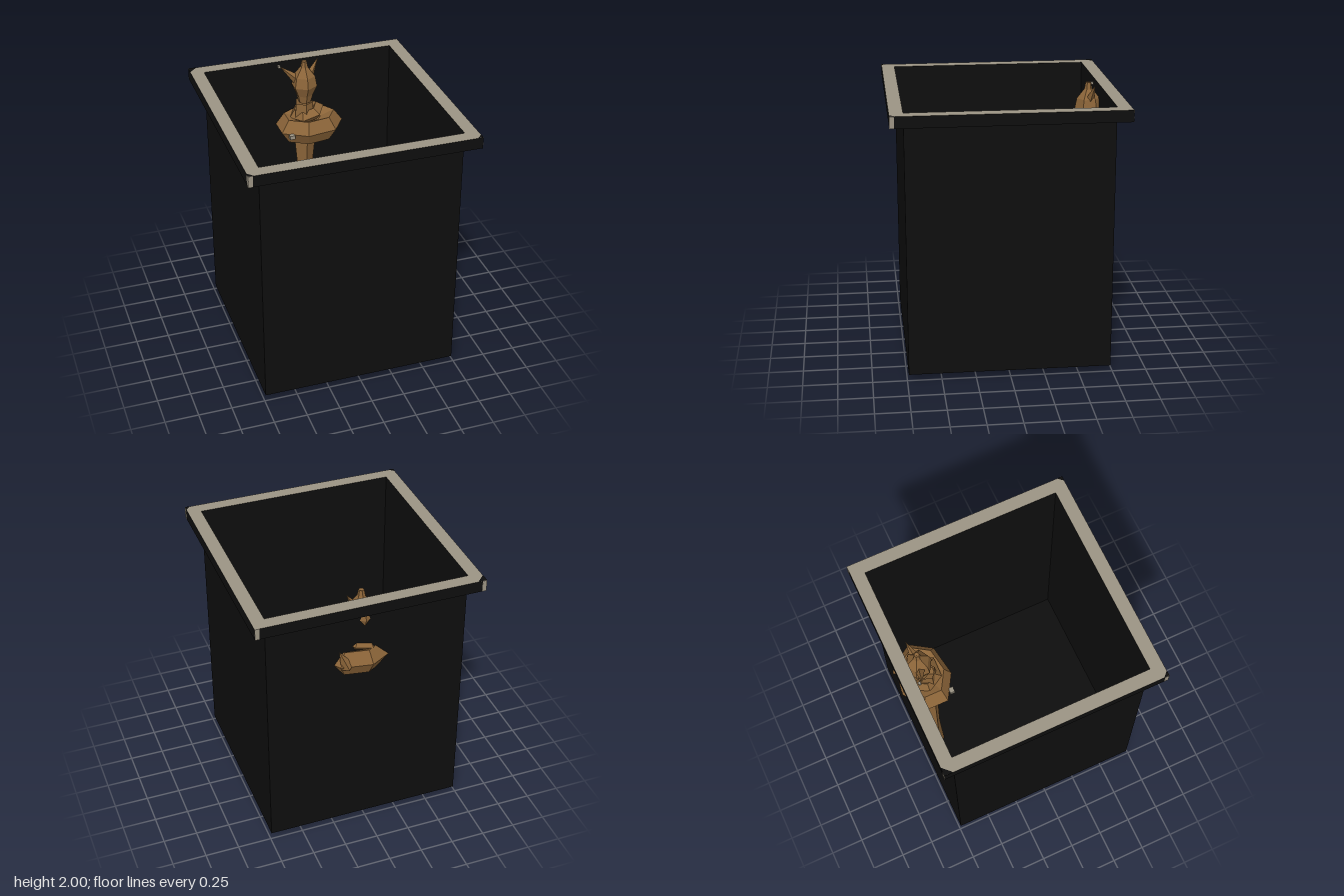
import * as THREE from 'three';

export function createModel() {
  const model = new THREE.Group();
  const black = new THREE.MeshStandardMaterial({ name: 'black', color: 0x0e0e0e, side: THREE.DoubleSide });
  const beige = new THREE.MeshStandardMaterial({ name: 'beige', color: 0x9c9484 });
  const brown = new THREE.MeshStandardMaterial({ name: 'brown', color: 0x8c6539, flatShading: true, side: THREE.DoubleSide });

  const add = (name, geometry, material, x = 0, y = 0, z = 0, parent = model) => {
    const mesh = new THREE.Mesh(geometry, material);
    mesh.name = name;
    mesh.position.set(x, y, z);
    parent.add(mesh);
    return mesh;
  };

  const inner = 0.738, outer = 0.836, base = 0.04, rimLow = 1.9, rimTop = 1.985;

  // Open box: four thin walls and a floor
  const wallHeight = rimLow - base;
  for (let i = 0; i < 4; i++) {
    const a = i * Math.PI / 2;
    const wall = add('wall', new THREE.PlaneGeometry(inner * 2, wallHeight), black,
      Math.sin(a) * inner, base + wallHeight / 2, Math.cos(a) * inner);
    wall.rotation.y = a;
  }
  add('floor', new THREE.PlaneGeometry(inner * 2, inner * 2), black, 0, base, 0).rotation.x = Math.PI / 2;

  // Square rim with a pale top face
  const square = (path, r) => path.moveTo(-r, -r).lineTo(r, -r).lineTo(r, r).lineTo(-r, r).closePath();
  const ring = new THREE.Shape();
  square(ring, outer);
  const hole = new THREE.Path();
  square(hole, inner);
  ring.holes.push(hole);
  const frame = (depth) => new THREE.ExtrudeGeometry(ring, { depth, bevelEnabled: false }).rotateX(-Math.PI / 2);
  add('rim', frame(rimTop - rimLow - 0.005), black, 0, rimLow, 0);
  add('rimTop', frame(0.005), [beige, black], 0, rimTop - 0.005, 0);

  // Pale strips at the rim's corners
  const rimMid = (rimLow + rimTop) / 2, edge = outer - 0.016;
  for (const [x, z, alongX] of [
    [-edge, outer, true], [outer, edge, false], [-outer, edge, false], [edge, -outer, true], [-edge, -outer, true],
  ]) {
    add('cornerStrip', new THREE.BoxGeometry(alongX ? 0.032 : 0.003, rimTop - rimLow, alongX ? 0.003 : 0.032),
      beige, x, rimMid, z);
  }

  // Dark tips on the top corners
  for (const [sx, sz, size] of [[-1, -1, 0.065], [-1, 1, 0.04], [1, 1, 0.04]]) {
    const tip = new THREE.Shape();
    tip.moveTo(0, 0).lineTo(-sx * size, 0).lineTo(0, sz * size).closePath();
    add('cornerTip', new THREE.ShapeGeometry(tip).rotateX(-Math.PI / 2), black, sx * outer, rimTop + 0.002, sz * outer);
  }

  // Knotted stem near the back wall
  const stem = new THREE.Group();
  stem.name = 'stem';
  model.add(stem);
  const lathe = (points, sides) =>
    new THREE.LatheGeometry(points.map(([r, y]) => new THREE.Vector2(r, y)), sides);

  add('trunk', lathe([[0.045, 0.01], [0.068, 0], [0.065, 0.04], [0.05, 0.5], [0.06, 1.1], [0.09, 1.4], [0.07, 1.68]], 5),
    brown, 0, 0, -0.62, stem);
  add('stemHead', lathe([[0.05, 1.66], [0.065, 1.72], [0.1, 1.8], [0.085, 1.88], [0.03, 1.95], [0.02, 2], [0, 1.99]], 6),
    brown, 0.02, 0, -0.66, stem);

  // Thick coil around the stem
  const coil = new THREE.TorusGeometry(0.175, 0.1, 5, 7).rotateX(Math.PI / 2).scale(0.98, 1, 0.72);
  add('coil', coil, brown, 0.045, 1.47, -0.63, stem);
  const collar = new THREE.TorusGeometry(0.09, 0.05, 4, 6).rotateX(Math.PI / 2);
  collar.rotateZ(0.25);
  add('collar', collar, brown, 0.03, 1.58, -0.64, stem);

  // Pointed twigs
  const twig = (from, to, radius) => {
    const a = new THREE.Vector3(...from), b = new THREE.Vector3(...to);
    const dir = b.clone().sub(a);
    const mesh = add('twig', new THREE.ConeGeometry(radius, dir.length(), 4), brown, 0, 0, 0, stem);
    mesh.position.copy(a).add(b).multiplyScalar(0.5);
    mesh.quaternion.setFromUnitVectors(new THREE.Vector3(0, 1, 0), dir.normalize());
  };
  twig([0, 1.82, -0.66], [-0.16, 1.96, -0.7], 0.05);
  twig([0.05, 1.85, -0.66], [0.14, 2, -0.69], 0.04);
  twig([0.02, 1.8, -0.66], [0.02, 1.87, -0.75], 0.05);
  twig([0.16, 1.46, -0.77], [0.22, 1.6, -0.77], 0.05);

  // Small pale chips
  add('chip', new THREE.BoxGeometry(0.04, 0.03, 0.035), beige, -0.135, 1.46, -0.49, stem);
  add('chip', new THREE.BoxGeometry(0.02, 0.02, 0.02), beige, -0.16, 1.95, -0.72, stem);

  return model;
}
